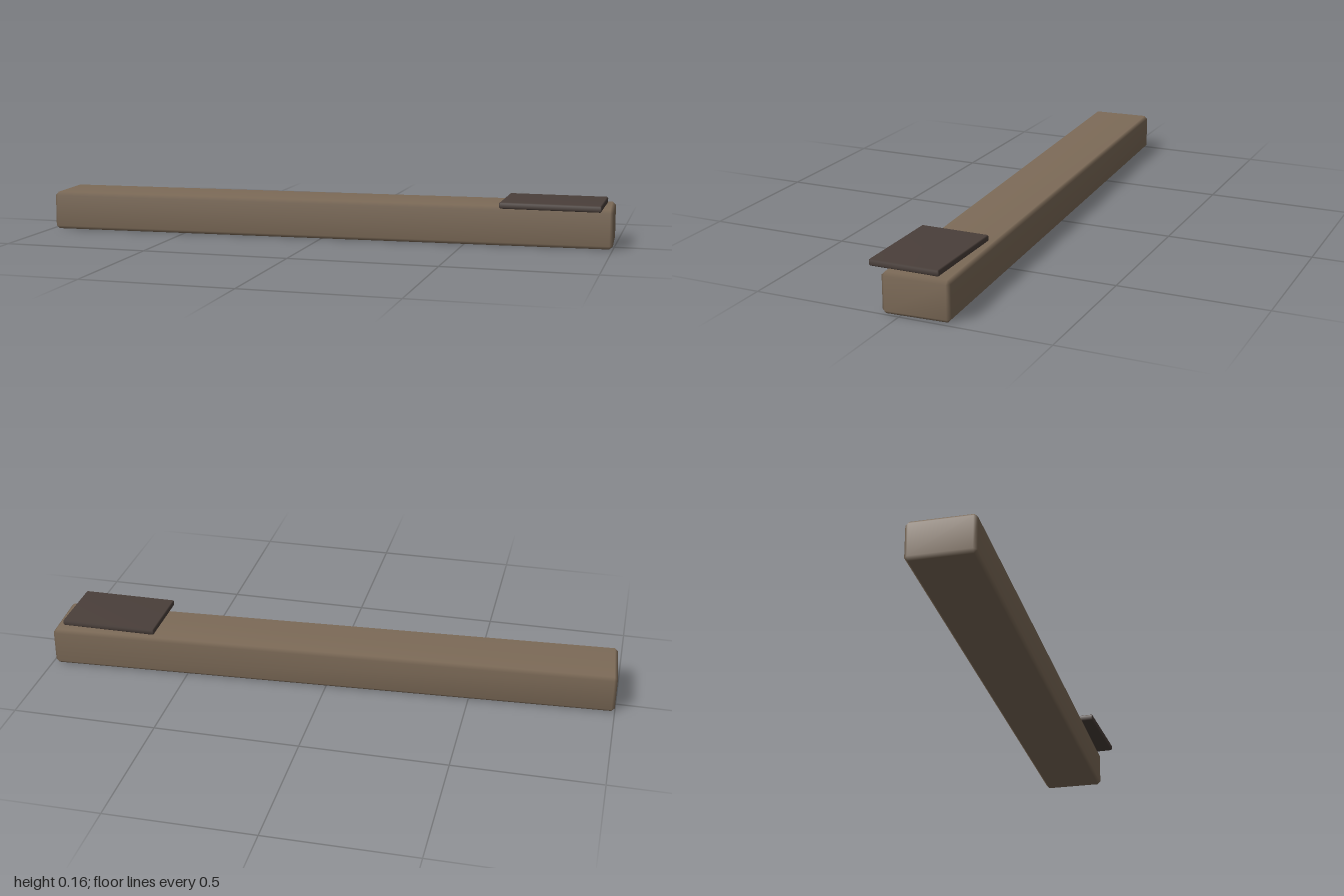
import * as THREE from 'three';
import { mergeVertices } from 'three/addons/utils/BufferGeometryUtils.js';
import { ConvexGeometry } from 'three/addons/geometries/ConvexGeometry.js';

// Box with every edge cut by a flat chamfer, shaded softly across the edges
function chamferBox(w, h, d, c) {
  const half = [w / 2, h / 2, d / 2];
  const points = [];
  for (const sx of [-1, 1]) for (const sy of [-1, 1]) for (const sz of [-1, 1]) {
    // each corner becomes three points, one on each neighbouring face
    for (let axis = 0; axis < 3; axis++) {
      const p = [sx, sy, sz].map((s, i) => s * (i === axis ? half[i] : half[i] - c));
      points.push(new THREE.Vector3(...p));
    }
  }
  const hull = new ConvexGeometry(points);
  hull.deleteAttribute('normal');
  const geometry = mergeVertices(hull);
  geometry.computeVertexNormals();
  return geometry;
}

function part(name, geometry, color) {
  const mesh = new THREE.Mesh(geometry, new THREE.MeshStandardMaterial({ color }));
  mesh.name = name;
  return mesh;
}

export function createModel() {
  const model = new THREE.Group();
  model.name = 'beamWithPlate';

  // Long beam, turned slightly about the vertical
  const beam = part('beam', chamferBox(1.991, 0.134, 0.225, 0.0115), 0x7d6b58);
  beam.position.y = 0.067;
  beam.rotation.y = 0.053;
  model.add(beam);

  // Thin plate lying square on the left end of the beam
  const plate = part('plate', chamferBox(0.34, 0.022, 0.237, 0.004), 0x4a3f3a);
  plate.position.set(0.795, 0.144, 0);
  model.add(plate);

  return model;
}
